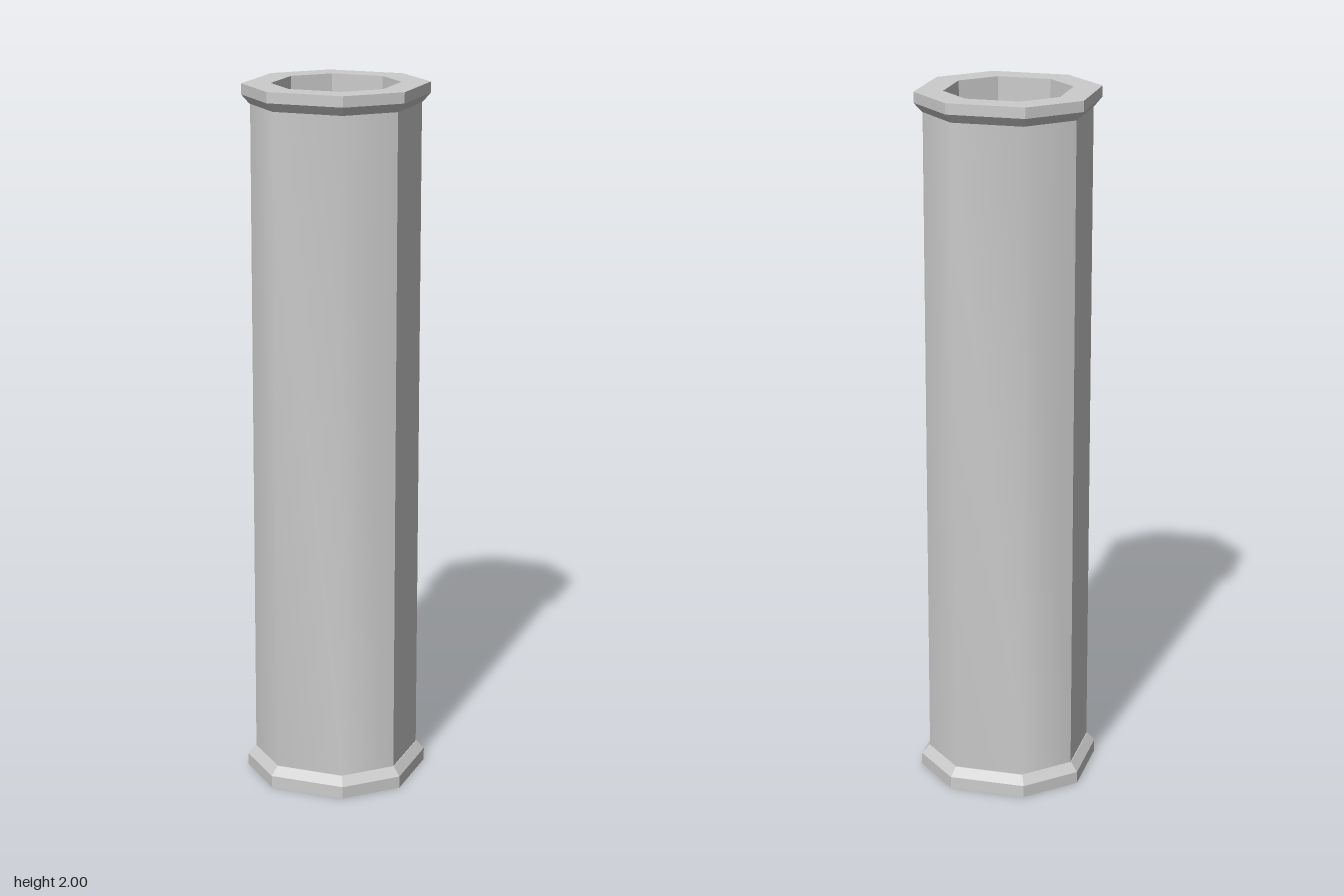
import * as THREE from 'three';

const material = new THREE.MeshStandardMaterial({ color: 0xcccccc });

// Sweeps a profile of [apothem, y] points round an octagon whose straight sides
// are slightly longer than its diagonal ones.
function octagonSweep(profile, { start = Math.PI / 8, sides = 8, smooth = false } = {}) {
  const points = profile.map(([a, y]) => new THREE.Vector2(a / Math.cos(Math.PI / 8), y));
  let geometry = new THREE.LatheGeometry(points, sides, start, sides * Math.PI / 4);
  const pos = geometry.attributes.position;
  for (let i = 0; i < pos.count; i++) {
    const x = pos.getX(i), z = pos.getZ(i);
    if (Math.abs(x) < Math.abs(z)) pos.setX(i, x * 1.116);
    else pos.setZ(i, z * 1.116);
  }
  if (!smooth) geometry = geometry.toNonIndexed();
  geometry.computeVertexNormals();
  return geometry;
}

export function createModel() {
  const group = new THREE.Group();
  const add = (name, geometry) => {
    const mesh = new THREE.Mesh(geometry, material);
    mesh.name = name;
    group.add(mesh);
  };

  const bore = 0.162, shaft = 0.213, rim = 0.235, neck = 0.215;
  const low = 0.06, high = 1.945;

  // Shaft: front and back are shaded smoothly over three sides, the ends are flat
  const wall = [[shaft, low], [shaft, high]];
  for (const [name, turn] of [['front', 0], ['back', Math.PI]]) {
    add(`${name}Shaft`, octagonSweep(wall, { start: turn - 3 * Math.PI / 8, sides: 3, smooth: true }));
  }
  for (const [name, turn] of [['left', Math.PI / 2], ['right', -Math.PI / 2]]) {
    add(`${name}Shaft`, octagonSweep(wall, { start: turn - Math.PI / 8, sides: 1 }));
  }

  // Bevelled collars with flat end rings
  add('bottomCollar', octagonSweep([[bore, 0], [rim, 0], [rim, 0.035], [neck, low], [shaft, low]]));
  add('topCollar', octagonSweep([[shaft, high], [neck, high], [rim, 1.97], [rim, 2], [bore, 2]]));

  // Inside wall of the hollow, facing inwards
  add('bore', octagonSweep([[bore, 2], [bore, 0]]));

  return group;
}
